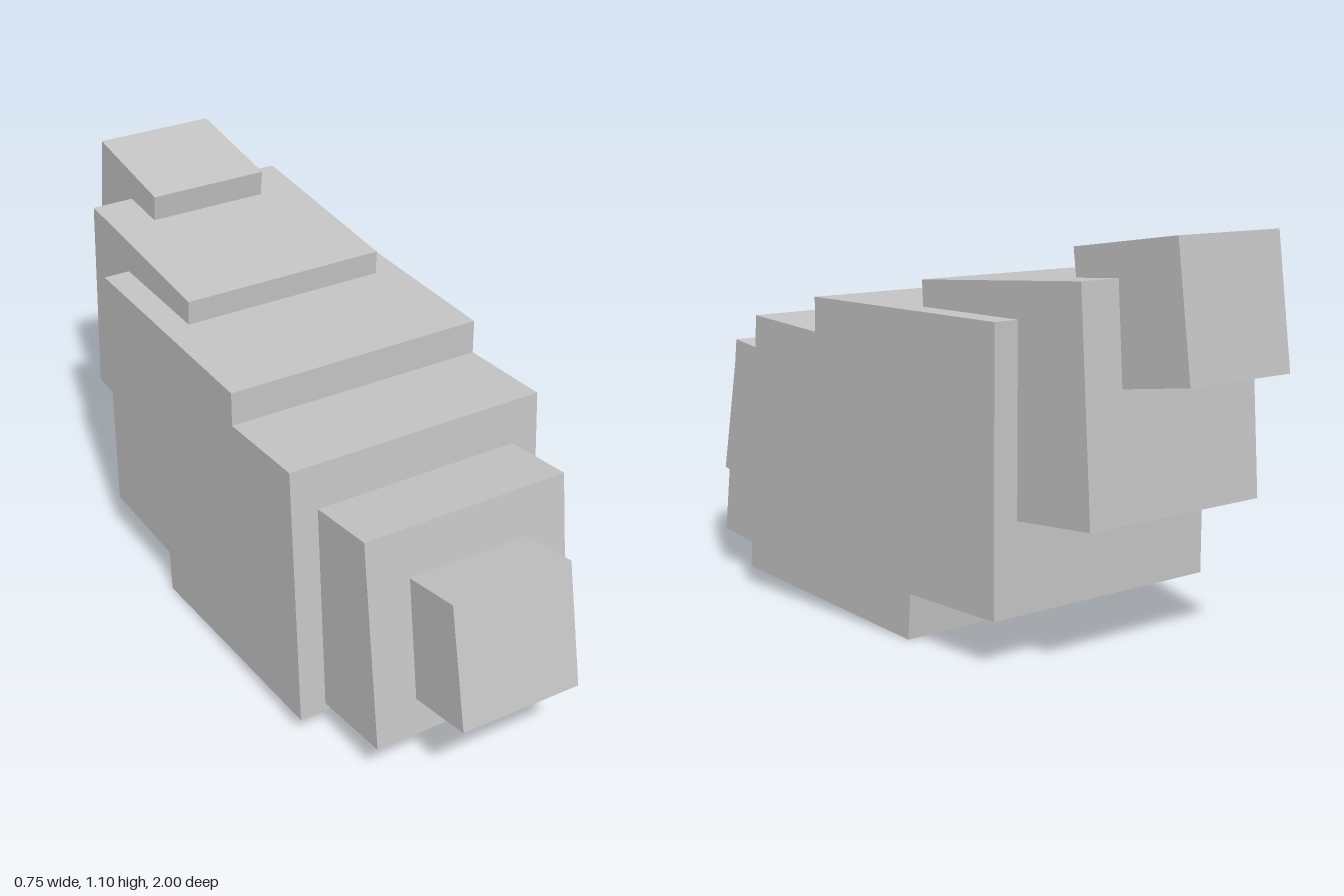
import * as THREE from 'three';

export function createModel() {
  const group = new THREE.Group();
  const grey = new THREE.MeshStandardMaterial({ color: 0xc4c4c4 });
  grey.name = 'plain grey';

  // Chain of cubes, each tilted a little more than the last: name, size, y, z, tilt
  const segments = [
    ['frontTip', 0.352, 0.395, 0.793, -0.2],
    ['frontMiddle', 0.598, 0.369, 0.472, -0.133],
    ['frontBody', 0.75, 0.404, 0.155, -0.067],
    ['rearBody', 0.75, 0.505, -0.163, 0],
    ['rearMiddle', 0.598, 0.672, -0.481, 0.067],
    ['rearTip', 0.352, 0.905, -0.8, 0.133],
  ];
  for (const [name, size, y, z, tilt] of segments) {
    const cube = new THREE.Mesh(new THREE.BoxGeometry(size, size, size), grey);
    cube.name = name;
    cube.position.set(0, y, z);
    cube.rotation.x = tilt;
    group.add(cube);
  }
  return group;
}
